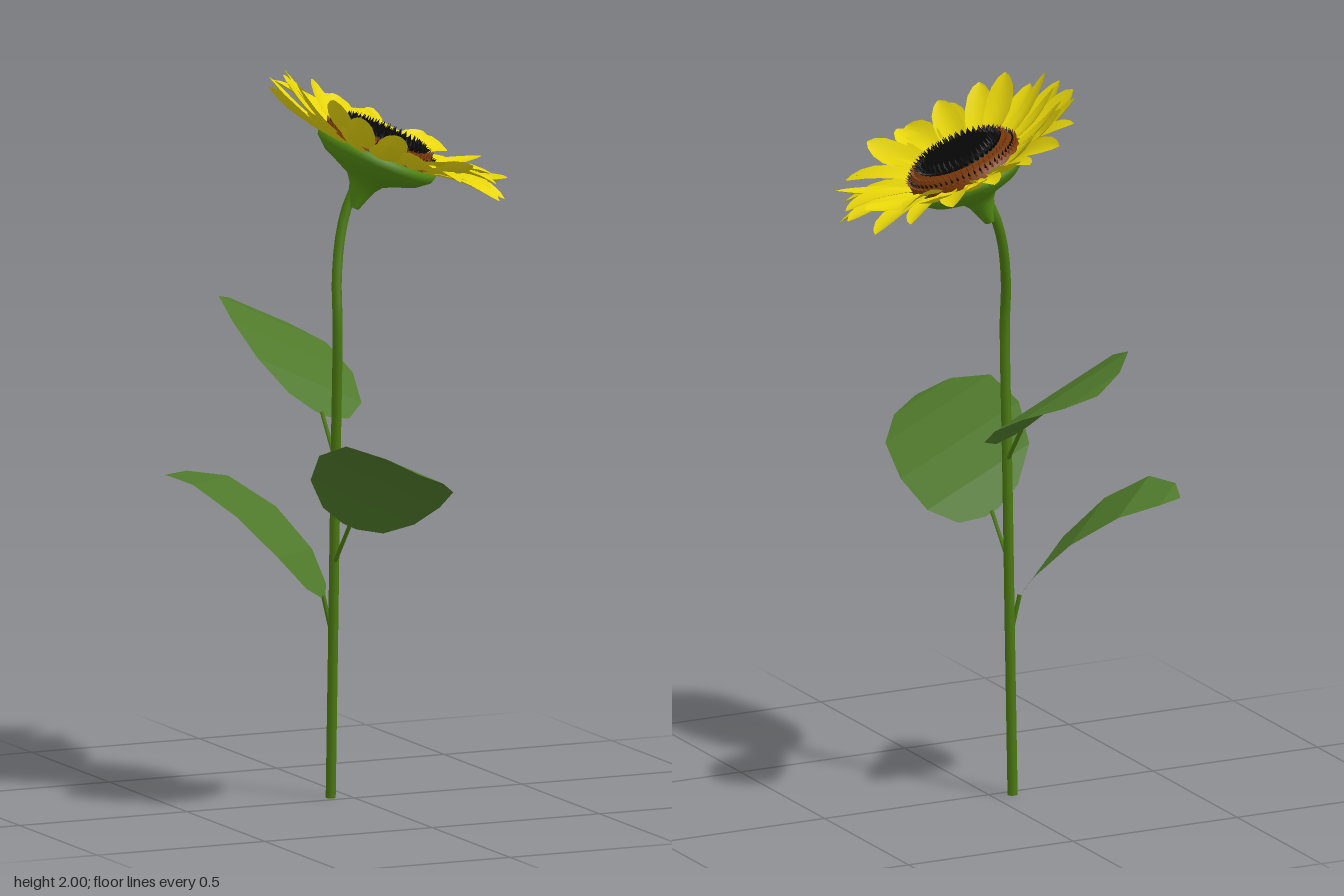
import * as THREE from 'three';
import { mergeGeometries } from 'three/addons/utils/BufferGeometryUtils.js';

const V = (x, y, z) => new THREE.Vector3(x, y, z);

function material(name, color, options = {}) {
  const m = new THREE.MeshStandardMaterial({ color, ...options });
  m.name = name;
  return m;
}

function part(name, geometry, mat) {
  const mesh = new THREE.Mesh(geometry, mat);
  mesh.name = name;
  return mesh;
}

// Surface through rows of points, all rows of equal length
function sheet(rows) {
  const n = rows[0].length, index = [];
  for (let i = 0; i < rows.length - 1; i++)
    for (let j = 0; j < n - 1; j++) {
      const a = i * n + j, b = a + n;
      index.push(a, b, a + 1, a + 1, b, b + 1);
    }
  const g = new THREE.BufferGeometry().setFromPoints(rows.flat());
  g.setIndex(index);
  g.computeVertexNormals();
  return g;
}

// Broad leaf blade: [distance, half width, height] per row, rolled to one side
function leafGeometry(base, dir, roll, steepness) {
  const side = V(dir.z, 0, -dir.x);
  const rows = [
    [0, 0.02, 0], [0.02, 0.09, 0.02], [0.08, 0.155, 0.08], [0.19, 0.18, 0.155],
    [0.32, 0.16, 0.21], [0.415, 0.085, 0.22], [0.45, 0.004, 0.215],
  ].map(([v, w, h]) => [-w, w].map((u) =>
    base.clone().addScaledVector(dir, v).addScaledVector(side, u).add(V(0, h * steepness + roll * u, 0))));
  return sheet(rows);
}

// Cupped petal running outwards along +x, bending upwards by lift
function petalGeometry(length, width, lift, twist) {
  const rows = [
    [0, 0.45], [0.2, 0.78], [0.42, 1], [0.62, 1], [0.8, 0.82], [0.93, 0.45], [1, 0.05],
  ].map(([t, w]) => {
    const x = length * t * Math.cos(lift);
    const y = length * t * Math.sin(lift) + 0.015 * Math.sin(t * Math.PI) * (lift > 0.25 ? -1 : 1);
    return [1, 0.5, 0, -0.5, -1].map((s) => {
      const z = s * w * width, cup = 0.01 * s * s * w;
      const a = twist * t;
      return V(x, y + cup * Math.cos(a) + z * Math.sin(a), z * Math.cos(a));
    });
  });
  return sheet(rows);
}

export function createModel() {
  const model = new THREE.Group();
  model.name = 'sunflower';

  const stemGreen = material('stem green', 0x4a7810);
  const leafGreen = material('leaf green', 0x4f792b, { side: THREE.DoubleSide, flatShading: true });
  const calyxGreen = material('calyx green', 0x528a12, { side: THREE.DoubleSide });
  const yellow = material('petal yellow', 0xead80a, { side: THREE.DoubleSide });
  const brown = material('floret brown', 0x7a380a);
  const black = material('seed black', 0x070707);

  let seed = 7;
  const jitter = () => {
    seed = (seed * 16807) % 2147483647;
    return (seed / 2147483647) * 2 - 1;
  };

  // Stem bending towards the head
  const stemPath = new THREE.CatmullRomCurve3([
    V(-0.057, 0, -0.03), V(-0.058, 0.45, -0.012), V(-0.06, 0.9, 0.007), V(-0.064, 1.32, 0.03),
    V(-0.06, 1.42, 0.015), V(-0.038, 1.55, -0.008), V(-0.008, 1.64, -0.018), V(0.024, 1.7, -0.014),
  ]);
  model.add(part('stem', new THREE.TubeGeometry(stemPath, 40, 0.0145, 8), stemGreen));
  const foot = part('stemFoot', new THREE.CircleGeometry(0.0145, 8), stemGreen);
  foot.rotation.x = Math.PI / 2;
  foot.position.set(-0.057, 0, -0.03);
  model.add(foot);

  // Leaves with their stalks
  const leaves = [
    ['frontLeaf', V(-0.06, 0.65, 0), V(-0.055, 0.765, 0.09), V(0, 0, 1), -0.47, 1],
    ['backLeaf', V(-0.06, 0.93, 0.01), V(-0.055, 1.045, -0.09), V(0, 0, -1), 0.47, 1],
    ['sideLeaf', V(-0.06, 0.44, -0.01), V(-0.083, 0.555, -0.022), V(-0.74, 0, -0.67), 0.09, 1.45],
  ];
  for (const [name, root, base, dir, roll, steepness] of leaves) {
    const leaf = new THREE.Group();
    leaf.name = name;
    const stalk = new THREE.LineCurve3(root, base.clone().add(V(0, 0.005, 0)));
    leaf.add(part('leafStalk', new THREE.TubeGeometry(stalk, 1, 0.006, 6), stemGreen));
    leaf.add(part('leafBlade', leafGeometry(base, dir, roll, steepness), leafGreen));
    model.add(leaf);
  }

  // Flower head, tilted to its left and a little forwards
  const head = new THREE.Group();
  head.name = 'flowerHead';
  head.position.set(0.06, 1.76, 0.004);
  head.quaternion.setFromUnitVectors(V(0, 1, 0), V(0.38, 0.9, 0.11).normalize());
  model.add(head);

  const lathe = (points) =>
    new THREE.LatheGeometry(points.map(([x, y]) => new THREE.Vector2(x, y)), 40);
  head.add(part('calyx', lathe([
    [0.016, -0.15], [0.026, -0.12], [0.037, -0.09], [0.053, -0.068], [0.092, -0.05], [0.135, -0.032],
    [0.168, -0.004], [0.173, 0.016], [0.155, 0.026],
  ]), calyxGreen));
  head.add(part('floretRing', lathe([[0.163, 0.015], [0.159, 0.038], [0.138, 0.058], [0.09, 0.064]]), brown));
  head.add(part('seedDisc', lathe([[0.116, 0.058], [0.11, 0.07], [0.09, 0.076], [0.05, 0.072], [0.0001, 0.068]]), black));

  // Rings of small pointed florets
  const floretRing = (name, radius, y, count, size, lean, mat) => {
    const cones = [];
    for (let i = 0; i < count; i++) {
      const cone = new THREE.ConeGeometry(size, size * 4, 5);
      cone.rotateZ(-lean).translate(radius, y, 0).rotateY((i / count) * Math.PI * 2);
      cones.push(cone);
    }
    head.add(part(name, mergeGeometries(cones), mat));
  };
  floretRing('outerFlorets', 0.159, 0.044, 56, 0.005, 0.6, brown);
  floretRing('darkFloretTips', 0.152, 0.052, 56, 0.004, 0.4, black);
  floretRing('middleFlorets', 0.139, 0.063, 50, 0.0055, 0.3, brown);
  floretRing('seedSpikes', 0.124, 0.072, 44, 0.005, 0.9, black);
  floretRing('outerSeeds', 0.113, 0.077, 40, 0.0055, 0.1, black);
  floretRing('innerSeeds', 0.098, 0.081, 36, 0.005, -0.2, black);

  // Two layers of petals, steeper on the raised side
  const petalLayer = (name, count, phase, lift, y, length) => {
    const petals = [];
    for (let i = 0; i < count; i++) {
      const a = ((i + phase + 0.2 * jitter()) / count) * Math.PI * 2;
      const rise = lift - 0.08 * Math.cos(a) + 0.08 * jitter();
      const g = petalGeometry(length + 0.015 * jitter(), 0.041 + 0.004 * jitter(), rise, 0.4 * jitter());
      petals.push(g.translate(0.147, y, 0).rotateY(a));
    }
    head.add(part(name, mergeGeometries(petals), yellow));
  };
  petalLayer('outerPetals', 19, 0, 0.2, 0.014, 0.228);
  petalLayer('innerPetals', 18, 0.5, 0.35, 0.024, 0.202);

  return model;
}
